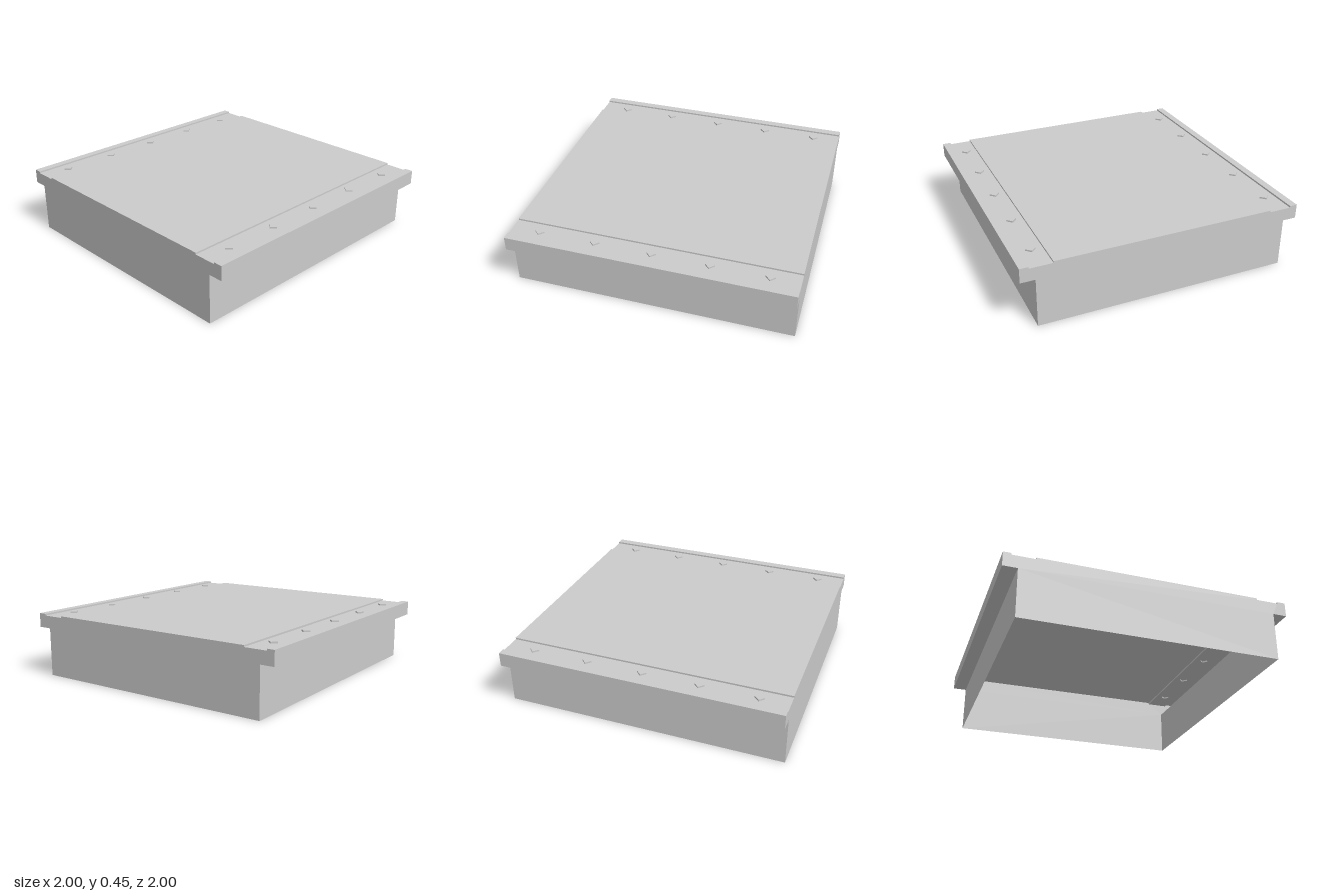
import * as THREE from 'three';

const DEPTH = 2, TOP = 0.449, GROOVE = 0.437, LEDGE = 0.347, BOLT = 0.034;

export function createModel() {
  const model = new THREE.Group();
  const material = new THREE.MeshStandardMaterial({
    color: 0xcccccc, flatShading: true, side: THREE.DoubleSide,
  });
  const add = (name, geometry, parent = model) => {
    const mesh = new THREE.Mesh(geometry, material);
    mesh.name = name;
    parent.add(mesh);
    return mesh;
  };

  // Cross-section of the thin open-bottomed shell, clockwise seen from the front;
  // each entry names the panel that starts at its point
  const profile = [
    [-0.9, 0, 'rightWall'], [-0.9, LEDGE, 'rightLedge'], [-1, LEDGE, 'rightLip'],
    [-1, TOP, 'rightRim'], [-0.946, TOP, 'rightGrooveOuterStep'],
    [-0.946, GROOVE, 'rightBoltStrip'], [-0.786, GROOVE, 'rightGrooveInnerStep'],
    [-0.786, TOP, 'deck'],
    [0.781, TOP, 'leftGrooveInnerStep'], [0.781, GROOVE, 'leftBoltStrip'],
    [0.941, GROOVE, 'leftGrooveOuterStep'], [0.941, TOP, 'leftRim'],
    [1, TOP, 'leftLip'], [1, LEDGE, 'leftLedge'],
    [0.9, LEDGE, 'leftWall'], [0.9, 0],
  ];

  // Flat strip with diamond openings under the hollow bolt heads
  const boltZ = [-0.8, -0.4, 0, 0.4, 0.8];
  const perforatedStrip = (width) => {
    const w = width / 2, d = DEPTH / 2;
    const shape = new THREE.Shape([[-w, -d], [w, -d], [w, d], [-w, d]]
      .map((p) => new THREE.Vector2(...p)));
    for (const z of boltZ) {
      shape.holes.push(new THREE.Path([[-BOLT, 0], [0, BOLT], [BOLT, 0], [0, -BOLT]]
        .map(([x, y]) => new THREE.Vector2(x, y + z))));
    }
    return new THREE.ShapeGeometry(shape);
  };

  // Panels running the full depth along each profile edge
  for (let i = 0; i < profile.length - 1; i++) {
    const [ax, ay, name] = profile[i], [bx, by] = profile[i + 1];
    const length = Math.hypot(bx - ax, by - ay);
    const geometry = name.endsWith('BoltStrip')
      ? perforatedStrip(length) : new THREE.PlaneGeometry(length, DEPTH);
    geometry.rotateX(-Math.PI / 2).rotateZ(Math.atan2(by - ay, bx - ax));
    add(name, geometry).position.set((ax + bx) / 2, (ay + by) / 2, 0);
  }

  // Front and back end walls follow the whole cross-section
  const endShape = new THREE.Shape(profile.map(([x, y]) => new THREE.Vector2(x, y)));
  add('frontWall', new THREE.ShapeGeometry(endShape)).position.z = DEPTH / 2;
  const back = new THREE.Shape(profile.map(([x, y]) => new THREE.Vector2(-x, y)));
  const backWall = add('backWall', new THREE.ShapeGeometry(back));
  backWall.rotation.y = Math.PI;
  backWall.position.z = -DEPTH / 2;

  // Hollow four-sided bolt heads, one row in each groove
  const boltGeometry = new THREE.LatheGeometry(
    [[BOLT, 0], [BOLT, 0.011], [0, 0.011]].map((p) => new THREE.Vector2(...p)), 4);
  for (const [name, x] of [['rightBolts', -0.866], ['leftBolts', 0.861]]) {
    const row = new THREE.Group();
    row.name = name;
    model.add(row);
    for (const z of boltZ) add('boltHead', boltGeometry, row).position.set(x, GROOVE, z);
  }
  return model;
}
